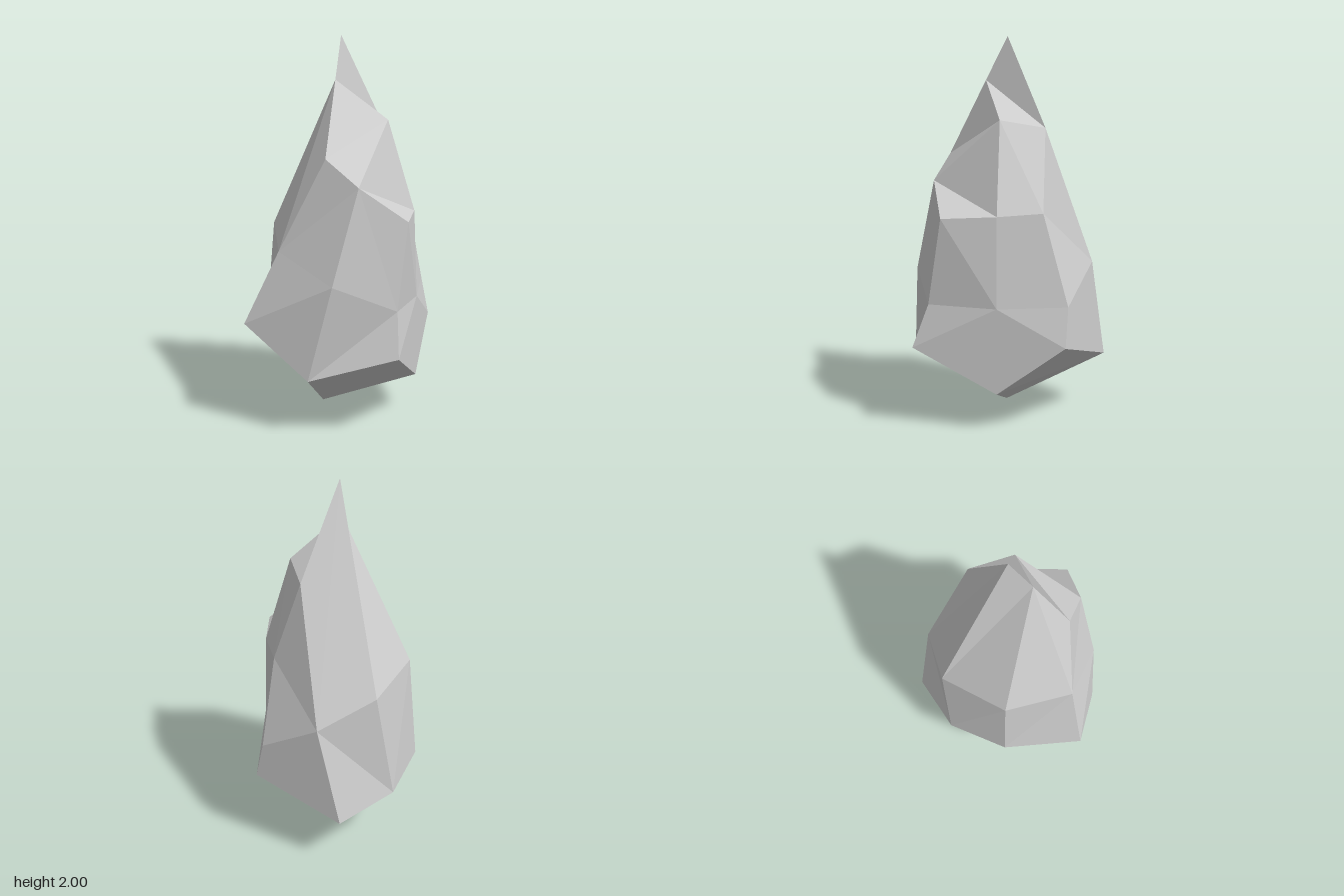
import * as THREE from 'three';

// Rings of eight points each, running from the left (-x) round the front to the back.
const LOW = [
  [-0.43, 0.4, 0.015], [-0.395, 0.55, 0.445], [-0.035, 0.3, 0.52], [0.41, 0.43, 0.445],
  [0.42, 0.2, 0.015], [0.428, 0.45, -0.33], [-0.035, 0.3, -0.525], [-0.31, 0.36, -0.315],
];
const MIDDLE = [
  [-0.375, 1.0, 0.015], [-0.232, 0.92, 0.365], [0.08, 0.78, 0.48], [0.385, 0.65, 0.365],
  [0.42, 0.64, 0.015], [0.385, 0.65, -0.34], [0.085, 0.83, -0.455], [-0.21, 0.96, -0.338],
];
const HIGH = [
  [0, 1.775, 0.115], [0, 1.39, 0.308], [0.185, 1.26, 0.365], [0.42, 1.09, 0.293],
  [0.4, 1.1, 0.015], [0.325, 1.11, -0.21], [0.18, 1.53, -0.21], [0, 2, 0],
];
const BASE = [-0.1, 0, 0.015];
const CROWN = [0.255, 1.57, 0.015];

export function createModel() {
  const positions = [];

  // Two triangles; the crease runs a-c, or b-d when flipped.
  const quad = (a, b, c, d, flip) => {
    const corners = flip ? [a, b, d, b, c, d] : [a, b, c, a, c, d];
    corners.forEach((p) => positions.push(...p));
  };

  // Band of facets between two rings
  const band = (lower, upper, flips) => {
    for (let i = 0; i < 8; i++) {
      const j = (i + 1) % 8;
      quad(lower[i], lower[j], upper[j], upper[i], flips[i] === '1');
    }
  };
  band(LOW, MIDDLE, '00001010');
  band(MIDDLE, HIGH, '10110100');

  // Four facets closing the slanted crown and four closing the base
  for (let i = 0; i < 8; i += 2) {
    const j = i + 1, k = (i + 2) % 8;
    quad(HIGH[i], HIGH[j], HIGH[k], CROWN, i === 0 || i === 4);
    quad(LOW[k], LOW[j], LOW[i], BASE, false);
  }

  const geometry = new THREE.BufferGeometry();
  geometry.setAttribute('position', new THREE.Float32BufferAttribute(positions, 3));
  geometry.computeVertexNormals();

  const rock = new THREE.Mesh(
    geometry,
    new THREE.MeshStandardMaterial({ color: 0xcccccc, flatShading: true }),
  );
  rock.name = 'rock';

  const group = new THREE.Group();
  group.name = 'pointedRock';
  group.add(rock);
  return group;
}
